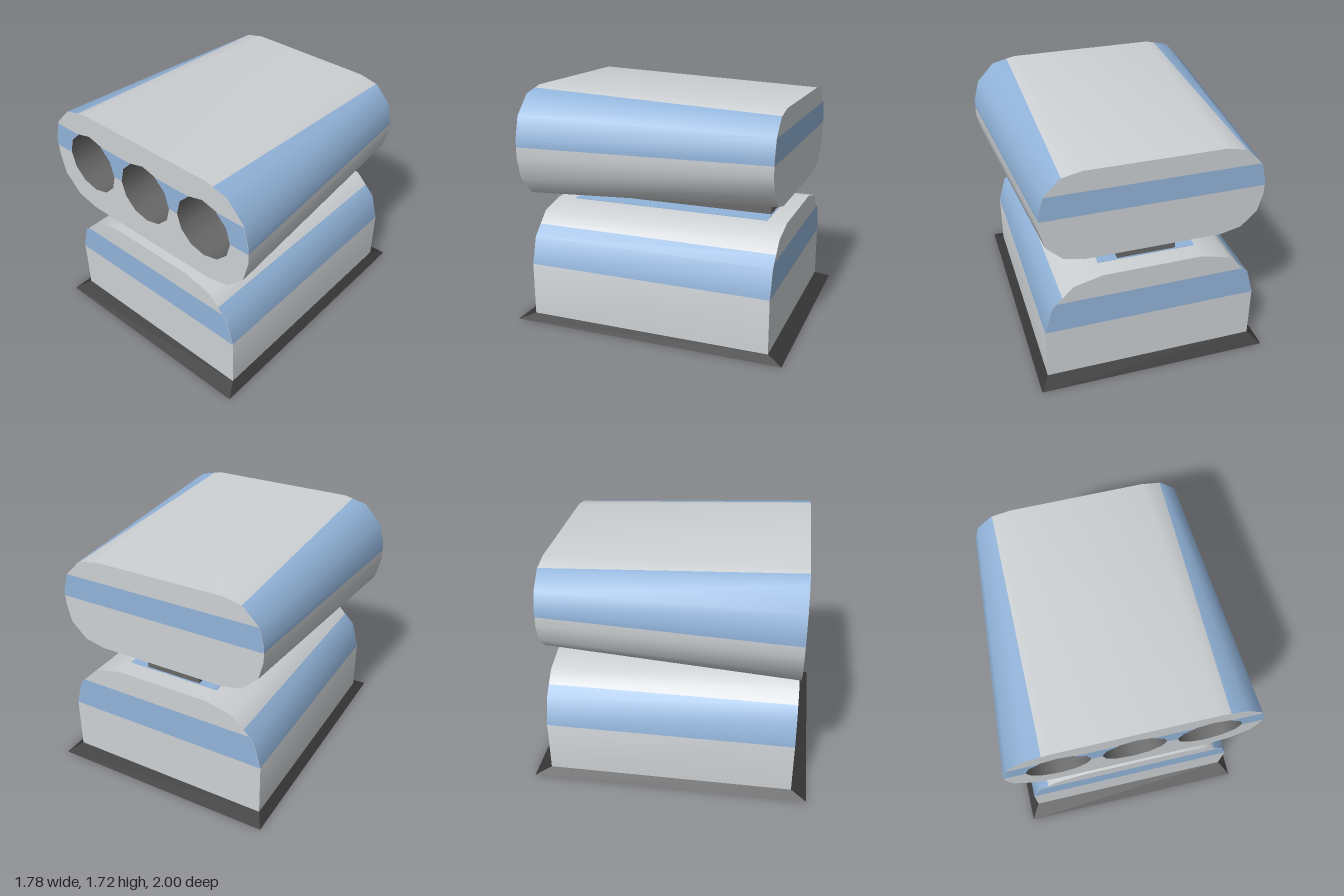
import * as THREE from 'three';
import { toCreasedNormals } from 'three/addons/utils/BufferGeometryUtils.js';

const HALF_Z = 0.89;
const HOLE_R = 0.225, HOLE_Y = 1.33, HOLE_DEPTH = 0.36, HOLES = [-0.52, 0, 0.52];

const flat = (name, color, side = THREE.FrontSide) => {
  const m = new THREE.MeshStandardMaterial({ color, side });
  m.name = name;
  return m;
};

// Full outline, counter-clockwise, from its right half (bottom to top)
const mirror = (half) => [...half, ...half.map(([x, y]) => [-x, y]).reverse()];
const toShape = (pts) => new THREE.Shape(pts.map(([x, y]) => new THREE.Vector2(x, y)));

// Skin between a front and a back outline; bands gives the material of each half segment
function loft(front, back, bands) {
  const f = mirror(front), b = mirror(back), n = f.length;
  const pos = [], index = [];
  f.forEach(([x, y]) => pos.push(x, y, HALF_Z));
  b.forEach(([x, y]) => pos.push(x, y, -HALF_Z));
  const mats = [...bands, ...bands.slice(0, -1).reverse(), 0];
  const geo = new THREE.BufferGeometry();
  for (let i = 0; i < n; i++) {
    const j = (i + 1) % n;
    geo.addGroup(index.length, 6, mats[i]);
    index.push(i, n + i, n + j, i, n + j, j);
  }
  geo.setAttribute('position', new THREE.Float32BufferAttribute(pos, 3));
  geo.setIndex(index);
  return toCreasedNormals(geo, 0.7);
}

export function createModel() {
  const model = new THREE.Group();
  const shell = flat('pale grey', 0xcdd1d4);
  const blue = flat('light blue', 0x92b4da);
  const red = flat('dark red', 0x963838);
  const metal = flat('mid grey', 0x686868, THREE.DoubleSide);
  const black = flat('near black', 0x363636);

  const add = (name, geo, mat, x = 0, y = 0, z = 0) => {
    const mesh = new THREE.Mesh(geo, mat);
    mesh.name = name;
    mesh.position.set(x, y, z);
    model.add(mesh);
    return mesh;
  };
  // Flat end face, turned round for the back
  const cap = (name, shape, mat, z) => {
    const mesh = add(name, new THREE.ShapeGeometry(shape), mat, 0, 0, z);
    if (z < 0) mesh.rotation.y = Math.PI;
    return mesh;
  };

  // Base plate with bevelled rim
  const plate = new THREE.BoxGeometry(1.66, 0.04, 2);
  const p = plate.attributes.position;
  for (let i = 0; i < p.count; i++) {
    if (p.getY(i) > 0) p.setXYZ(i, Math.sign(p.getX(i)) * 0.765, 0.02, Math.sign(p.getZ(i)) * HALF_Z);
  }
  plate.computeVertexNormals();
  add('basePlate', plate, black, 0, 0.02, 0);

  // Lower housing
  const lower = [[0.765, 0.04], [0.765, 0.43], [0.71, 0.625], [0.635, 0.7], [0.555, 0.78], [0.35, 0.83]];
  add('lowerHousing', loft(lower, lower, [0, 1, 1, 0, 0, 0]), [shell, blue]);
  const lowerBand = [[0.765, 0.43], [0.71, 0.625], [0.675, 0.66]];
  for (const s of [1, -1]) {
    cap('lowerEnd', toShape(mirror(lower)), shell, s * HALF_Z);
    cap('lowerEndStripe', toShape(mirror(lowerBand)), blue, s * (HALF_Z + 0.003));
  }
  add('lowerTopPanel', new THREE.BoxGeometry(0.7, 0.006, 1.5), blue, 0, 0.83, 0);

  // Neck joining the two housings
  add('neck', new THREE.BoxGeometry(0.42, 0.25, 1.48), metal, 0, 0.935, 0);

  // Upper scoop, tapering to the back
  const front = [[0.55, 0.925], [0.72, 0.965], [0.85, 1.095], [0.89, 1.255], [0.89, 1.33],
    [0.89, 1.38], [0.848, 1.54], [0.72, 1.675], [0.61, 1.701], [0.55, 1.715]];
  const back = front.map(([x, y]) => [x * 0.86, 1.318 + (y - 1.32) * 0.83]);
  back[4][1] = 1.33;
  back[8] = [0.61, 1.617]; // the side stripe's upper edge keeps a constant x
  add('upperScoop', loft(front, back, [0, 0, 0, 0, 1, 1, 1, 1, 0, 0]), [shell, blue]);

  // Scoop back
  cap('scoopBack', toShape(mirror(back)), shell, -HALF_Z);
  cap('scoopBackStripe', toShape(mirror([back[4], back[5], back[6]])), blue, -HALF_Z - 0.003);

  // Scoop front with three intakes
  const arc = (cx, degrees) => degrees.map((d) => {
    const a = THREE.MathUtils.degToRad(d);
    return [cx + HOLE_R * Math.cos(a), HOLE_Y + HOLE_R * Math.sin(a)];
  });
  const ring = Array.from({ length: 12 }, (_, i) => -30 * i);
  const face = toShape(mirror(front));
  for (const cx of HOLES) {
    face.holes.push(new THREE.Path(arc(cx, ring).map(([x, y]) => new THREE.Vector2(x, y))));
    const tube = new THREE.CylinderGeometry(HOLE_R, HOLE_R, HOLE_DEPTH, 12, 1, true);
    tube.rotateX(Math.PI / 2);
    add('intakeWall', tube, metal, cx, HOLE_Y, HALF_Z - HOLE_DEPTH / 2);
    add('intakeFlap', new THREE.CircleGeometry(HOLE_R, 12), red, cx, HOLE_Y, HALF_Z - HOLE_DEPTH);
  }
  cap('scoopFront', face, shell, HALF_Z);

  // Front stripe, fitted between the intakes
  const outer = [[0.89, 1.33], [0.89, 1.38], [0.852, 1.525]];
  const rights = [outer.map(([x, y]) => [-x, y]), ...HOLES.map((x) => arc(x, [0, 30, 60]))];
  const lefts = [...HOLES.map((x) => arc(x, [180, 150, 120])), outer];
  rights.forEach((r, i) => {
    cap('scoopFrontStripe', toShape([...lefts[i], ...r.slice().reverse()]), blue, HALF_Z + 0.003);
  });

  return model;
}
